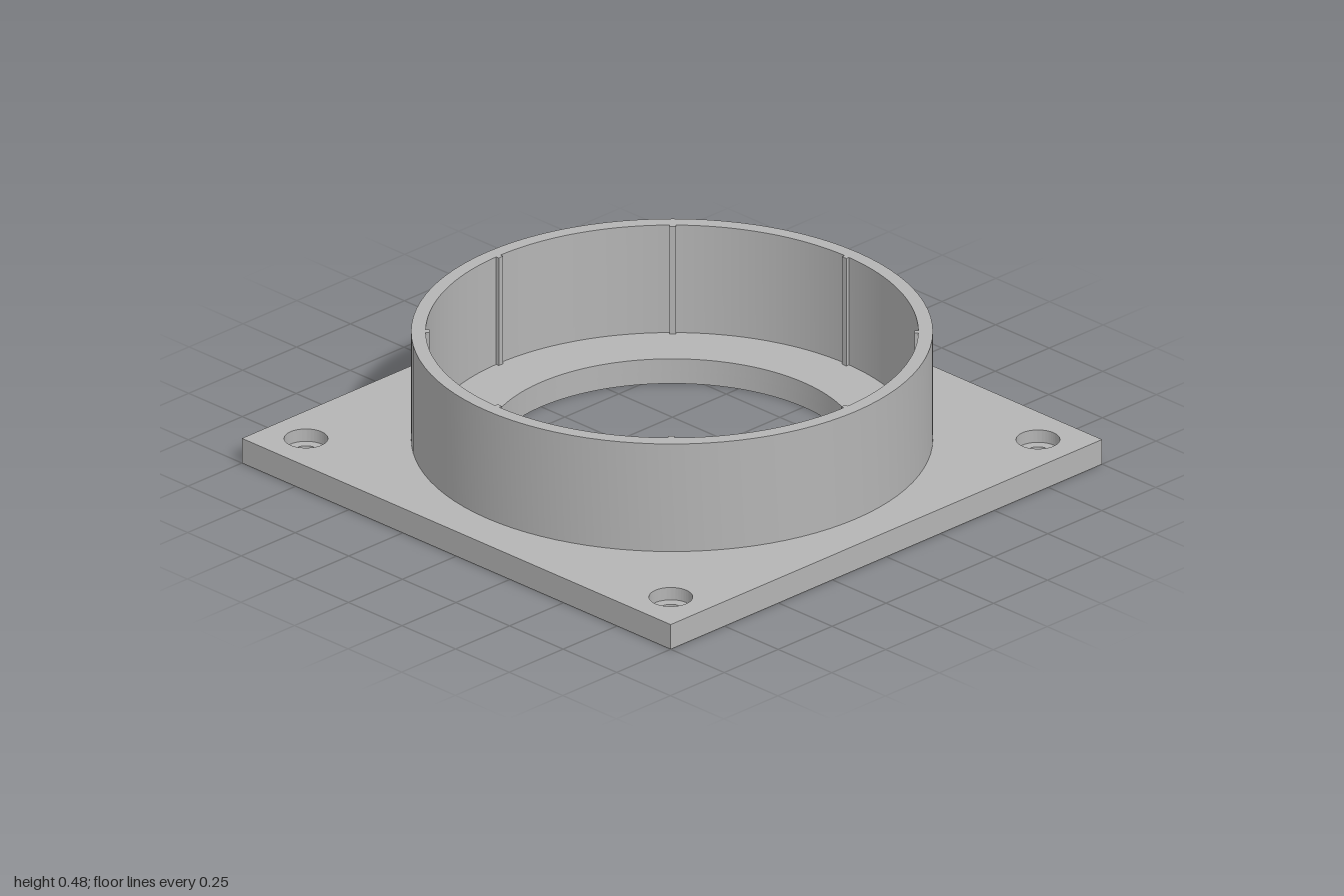
import * as THREE from 'three';
import { toCreasedNormals } from 'three/addons/utils/BufferGeometryUtils.js';

const PLATE_TOP = 0.09, STEP = 0.045, RING_TOP = 0.482;
const BORE = 0.61, RING_OUT = 0.858, RING_IN = 0.81;
const BOLT = 0.851, BOLT_R = 0.038, SEAT_R = 0.072;

export function createModel() {
  const model = new THREE.Group();
  const grey = new THREE.MeshStandardMaterial({ color: 0xb4b4b4 });
  grey.name = 'plain grey';

  const circle = (x, y, r) => new THREE.Path().absarc(x, y, r, 0, Math.PI * 2, false);

  // Extrude a flat outline upward from y0 to y1
  function addSlab(name, shape, y0, y1, curveSegments) {
    const geo = new THREE.ExtrudeGeometry(shape, { depth: y1 - y0, bevelEnabled: false, curveSegments });
    geo.rotateX(-Math.PI / 2).translate(0, y0, 0);
    const mesh = new THREE.Mesh(toCreasedNormals(geo, 0.5), grey);
    mesh.name = name;
    model.add(mesh);
  }

  // Square plate with the large bore and four bolt holes
  function plateShape(boltRadius) {
    const shape = new THREE.Shape([[-1, -1], [1, -1], [1, 1], [-1, 1]].map(([x, y]) => new THREE.Vector2(x, y)));
    shape.holes.push(circle(0, 0, BORE));
    for (const x of [-BOLT, BOLT])
      for (const y of [-BOLT, BOLT]) shape.holes.push(circle(x, y, boltRadius));
    return shape;
  }
  addSlab('lowerPlate', plateShape(BOLT_R), 0, STEP, 96);
  addSlab('counterboredUpperPlate', plateShape(SEAT_R), STEP, PLATE_TOP, 96);

  // Collar whose inner wall carries eight slim vertical ribs
  const collar = new THREE.Shape().absarc(0, 0, RING_OUT, 0, Math.PI * 2, false);
  const inner = new THREE.Path();
  const half = 0.0125, ribR = RING_IN - 0.012;
  for (let i = 0; i < 8; i++) {
    const a = (i * Math.PI) / 4;
    const at = (r, t) => [r * Math.cos(t), r * Math.sin(t)];
    if (i === 0) inner.moveTo(...at(RING_IN, a - half));
    inner.lineTo(...at(ribR, a - half));
    inner.lineTo(...at(ribR, a + half));
    inner.lineTo(...at(RING_IN, a + half));
    inner.absarc(0, 0, RING_IN, a + half, a + Math.PI / 4 - half, false);
  }
  collar.holes.push(inner);
  addSlab('ribbedCollar', collar, PLATE_TOP, RING_TOP, 48);

  return model;
}
